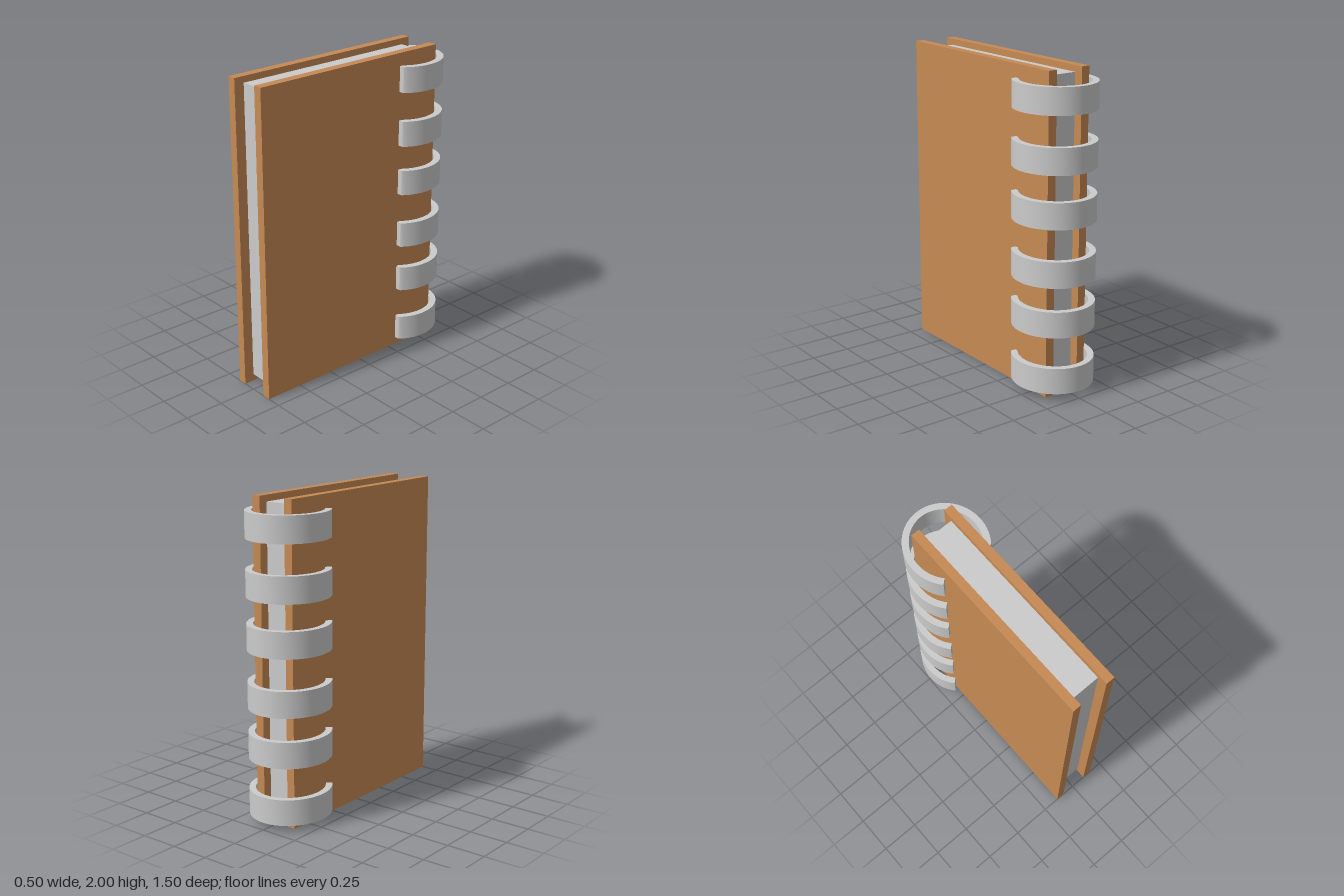
import * as THREE from 'three';
import { toCreasedNormals } from 'three/addons/utils/BufferGeometryUtils.js';

const grey = new THREE.MeshStandardMaterial({ color: 0xcccccc });
const tan = new THREE.MeshStandardMaterial({ color: 0xc68a54 });

// Box given by its minimum and maximum corners
function block(name, min, max, material) {
  const size = max.map((v, i) => v - min[i]);
  const mesh = new THREE.Mesh(new THREE.BoxGeometry(...size), material);
  mesh.position.set(...max.map((v, i) => (v + min[i]) / 2));
  mesh.name = name;
  return mesh;
}

// Points on an ellipse around the spine (x, z), from one angle to another
function arc(a, b, fromDeg, toDeg, steps = 48) {
  return Array.from({ length: steps + 1 }, (_, i) => {
    const t = THREE.MathUtils.degToRad(fromDeg + ((toDeg - fromDeg) * i) / steps);
    return new THREE.Vector2(a * Math.cos(t), -0.485 + b * Math.sin(t));
  });
}

// Open flat band that wraps the spine; its left tip is cut square to the cover
function ringGeometry(height) {
  const outline = [
    ...arc(0.249, 0.265, 39, -225),
    ...arc(0.207, 0.225, -225, 45),
    new THREE.Vector2(0.15, -0.315),
    new THREE.Vector2(0.188, -0.315),
  ];
  const geometry = new THREE.ExtrudeGeometry(new THREE.Shape(outline), {
    depth: height,
    bevelEnabled: false,
  });
  geometry.rotateX(Math.PI / 2);
  return toCreasedNormals(geometry, Math.PI / 6);
}

export function createModel() {
  const model = new THREE.Group();
  model.name = 'ringBoundNotebook';

  // Covers and page block
  model.add(block('rightCover', [-0.14, 0, -0.62], [-0.085, 2, 0.75], tan));
  model.add(block('leftCover', [0.1, 0, -0.62], [0.157, 2, 0.75], tan));
  model.add(block('pages', [-0.085, 0.045, -0.56], [0.1, 1.96, 0.685], grey));

  // Binding rings, placed by their top edges
  const rings = new THREE.Group();
  rings.name = 'bindingRings';
  const geometry = ringGeometry(0.164);
  for (const top of [0.211, 0.572, 0.885, 1.244, 1.569, 1.918]) {
    const ring = new THREE.Mesh(geometry, grey);
    ring.name = 'bindingRing';
    ring.position.y = top;
    rings.add(ring);
  }
  model.add(rings);
  return model;
}
